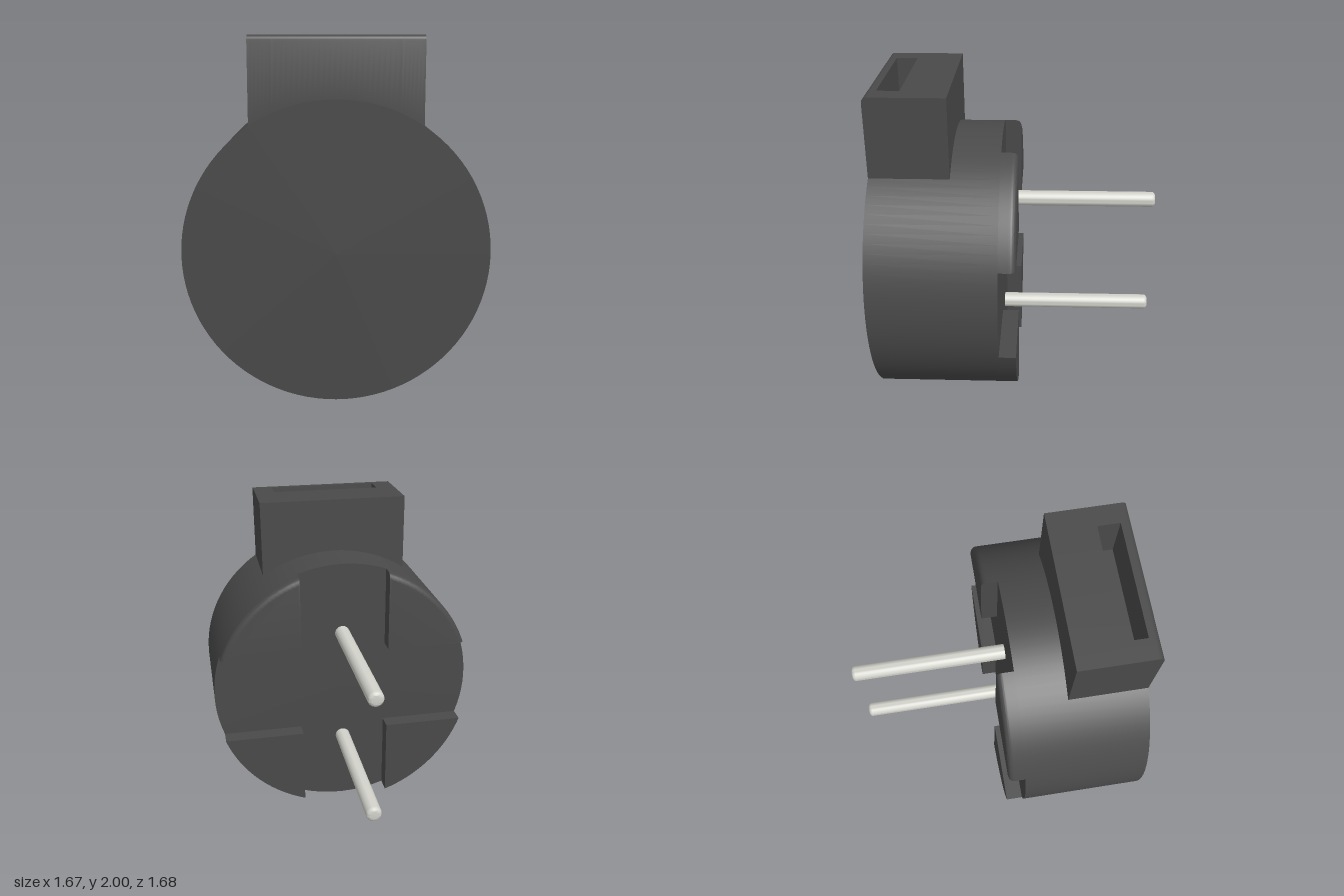
import * as THREE from 'three';
import { toCreasedNormals } from 'three/addons/utils/BufferGeometryUtils.js';

const R = 0.835, CY = 0.835;        // round body
const BACK = 0.1, FRONT = 0.84;     // body depth range
const GAP = 0.28;                   // half width of the cross-shaped recess

const dark = new THREE.MeshStandardMaterial({ color: 0x4a4a4a });
const metal = new THREE.MeshStandardMaterial({ color: 0xd2d2cb });

function add(parent, name, geometry, material) {
  const mesh = new THREE.Mesh(geometry, material);
  mesh.name = name;
  parent.add(mesh);
  return mesh;
}

// Quarter pad between the recess arms, optionally with a rounded outer rim
function padGeometry(round) {
  const a = Math.asin(GAP / R);
  const shape = new THREE.Shape();
  shape.moveTo(GAP, GAP);
  shape.lineTo(R * Math.cos(a), GAP);
  shape.absarc(0, 0, R, a, Math.PI / 2 - a, false);
  shape.closePath();
  const geo = new THREE.ExtrudeGeometry(shape, {
    depth: BACK, steps: round ? 20 : 1, curveSegments: 24, bevelEnabled: false,
  });
  if (round) {
    const p = geo.attributes.position;
    for (let i = 0; i < p.count; i++) {
      const t = Math.max(0, 1 - p.getZ(i) / round);
      const k = 1 - round * (1 - Math.sqrt(1 - t * t)) / 0.47;
      p.setXY(i, GAP + (p.getX(i) - GAP) * k, GAP + (p.getY(i) - GAP) * k);
    }
  }
  return toCreasedNormals(geo, 0.7);
}

// Slice of the top housing from x0 to x1; its underside follows the round body
function housingSlice(x0, x1, slotted) {
  const low = 1.5, top = 2, back = 0.38, r = 0.03;
  const s = new THREE.Shape();
  s.moveTo(back, low);
  s.lineTo(FRONT, low);
  s.lineTo(FRONT, top - r);
  s.absarc(FRONT - r, top - r, r, 0, Math.PI / 2, false);
  if (slotted) {
    s.lineTo(0.78, top);
    s.lineTo(0.78, 1.7);
    s.lineTo(0.65, 1.7);
    s.lineTo(0.65, top);
  }
  s.lineTo(back, top);
  s.closePath();
  const geo = new THREE.ExtrudeGeometry(s, {
    depth: x1 - x0, steps: slotted ? 24 : 6, curveSegments: 8, bevelEnabled: false,
  });
  geo.rotateY(-Math.PI / 2);
  geo.translate(x1, 0, 0);
  const p = geo.attributes.position;
  for (let i = 0; i < p.count; i++) {
    if (p.getY(i) < low + 0.01) p.setY(i, CY + Math.sqrt(R * R - p.getX(i) ** 2) - 0.004);
  }
  return toCreasedNormals(geo, 0.6);
}

export function createModel() {
  const model = new THREE.Group();
  model.name = 'buzzer';

  // Round body
  const bodyGeo = new THREE.CylinderGeometry(R, R, FRONT - BACK, 96);
  bodyGeo.rotateX(Math.PI / 2);
  add(model, 'body', bodyGeo, dark).position.set(0, CY, (FRONT + BACK) / 2);

  // Four standoff pads; the upper two have rounded rims
  const roundPad = padGeometry(0.035), plainPad = padGeometry(0);
  for (let i = 0; i < 4; i++) {
    const pad = add(model, 'standoffPad', i < 2 ? roundPad : plainPad, dark);
    pad.position.y = CY;
    pad.rotation.z = i * Math.PI / 2;
  }

  // Housing with the sound slot in its top
  const housing = new THREE.Group();
  housing.name = 'soundOutlet';
  add(housing, 'outletSide', housingSlice(-0.463, -0.34, false), dark);
  add(housing, 'outletSlot', housingSlice(-0.34, 0.34, true), dark);
  add(housing, 'outletSide', housingSlice(0.34, 0.463, false), dark);
  model.add(housing);

  // Two contact pins with rounded tips
  const pr = 0.047, tip = 0.022, length = 0.96;
  const profile = [new THREE.Vector2(0, 0), new THREE.Vector2(pr, 0)];
  for (let i = 0; i <= 6; i++) {
    const a = i / 6 * Math.PI / 2;
    profile.push(new THREE.Vector2(pr - tip + tip * Math.cos(a), length - tip + tip * Math.sin(a)));
  }
  profile.push(new THREE.Vector2(0, length));
  const pinGeo = toCreasedNormals(new THREE.LatheGeometry(profile, 32), 0.6);
  pinGeo.rotateX(-Math.PI / 2);
  for (const side of [-1, 1]) {
    add(model, 'pin', pinGeo, metal).position.set(0, CY + side * 0.375, 0.12);
  }
  return model;
}
